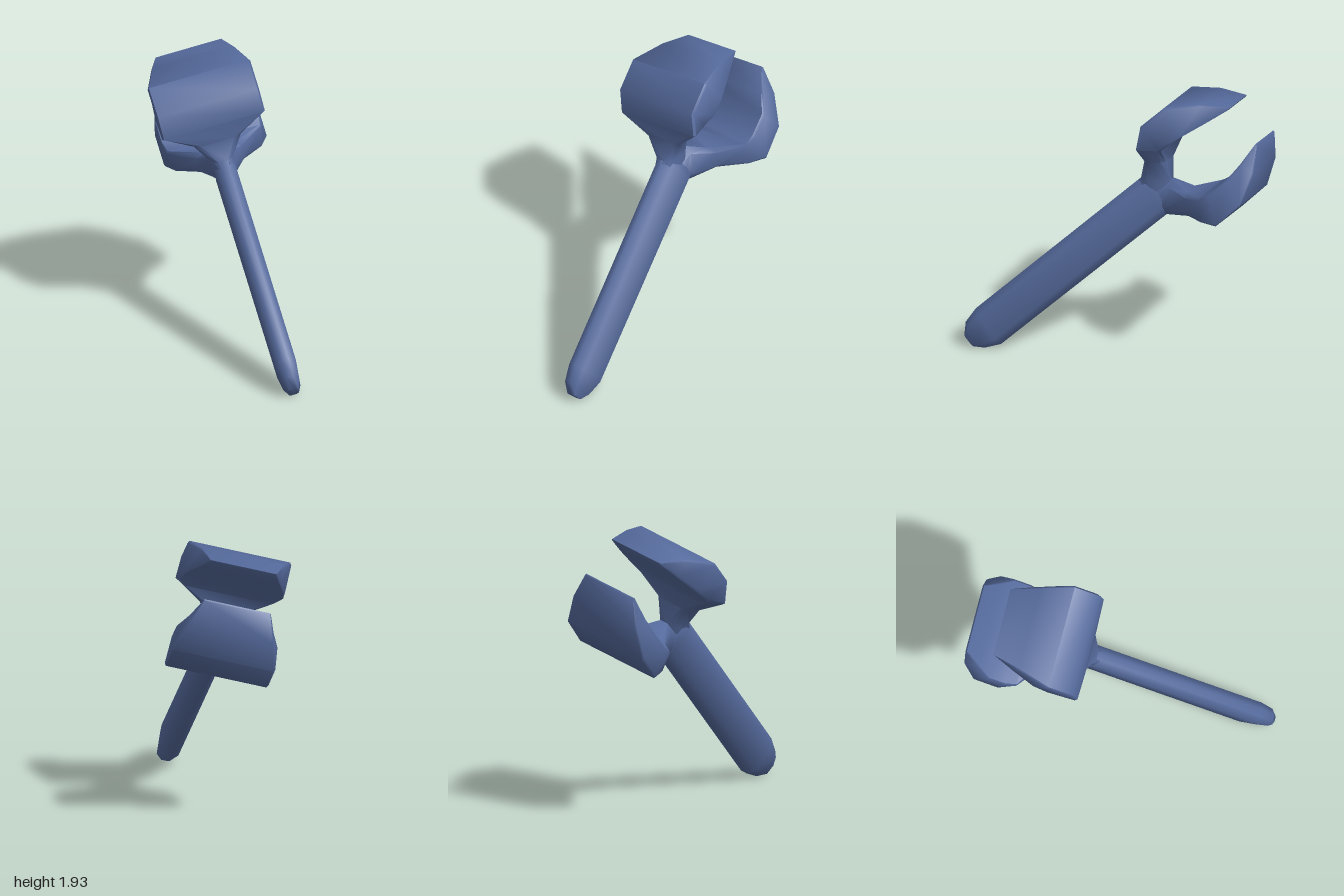
import * as THREE from 'three';
import { toCreasedNormals } from 'three/addons/utils/BufferGeometryUtils.js';

// Direction across the width of the tool; its middle plane is W . p = 0.36
const W = new THREE.Vector3(0.972, 0.235, -0.03).normalize();
const onPlane = (z, y) => new THREE.Vector3((0.36 - W.y * y - W.z * z) / W.x, y, z);

// Loft of eight-sided sections. Each station:
// [upper edge z, y, lower edge z, y, upper half width, lower half width, bevel ratio, bevel depth]
function loft(name, stations, material) {
  const pos = [], index = [], n = 8;
  const push = (p, s) => pos.push(p.x + W.x * s, p.y + W.y * s, p.z + W.z * s);
  for (const [az, ay, bz, by, ha, hb, k, inset] of stations) {
    const a = onPlane(az, ay), b = onPlane(bz, by);
    const a2 = a.clone().lerp(b, inset), b2 = b.clone().lerp(a, inset);
    push(a, ha * k); push(a2, ha); push(b2, hb); push(b, hb * k);
    push(b, -hb * k); push(b2, -hb); push(a2, -ha); push(a, -ha * k);
  }
  for (let i = 0; i < stations.length - 1; i++) {
    for (let j = 0; j < n; j++) {
      const p = i * n + j, q = i * n + (j + 1) % n;
      index.push(p, q, p + n, q, q + n, p + n);
    }
  }
  // End caps
  const last = (stations.length - 1) * n;
  for (let j = 1; j < n - 1; j++) {
    index.push(0, j + 1, j, last, last + j, last + j + 1);
  }
  const g = new THREE.BufferGeometry();
  g.setAttribute('position', new THREE.Float32BufferAttribute(pos, 3));
  g.setIndex(index);
  const mesh = new THREE.Mesh(toCreasedNormals(g, 0.95), material);
  mesh.name = name;
  return mesh;
}

export function createModel() {
  const group = new THREE.Group();
  group.name = 'openWrench';
  const metal = new THREE.MeshStandardMaterial({ color: 0x556a9c });

  // Flat bevelled bar with a rounded lower end
  group.add(loft('handle', [
    [1.0, 0.08, 0.93, 0.01, 0.035, 0.035, 0.5, 0.15],
    [0.995, 0.17, 0.85, 0.012, 0.06, 0.06, 0.4, 0.17],
    [0.93, 0.27, 0.74, 0.05, 0.073, 0.073, 0.35, 0.17],
    [-0.15, 1.28, -0.34, 1.05, 0.073, 0.073, 0.35, 0.17],
    [-0.23, 1.32, -0.41, 1.1, 0.06, 0.06, 0.35, 0.17],
  ], metal));

  // Upper jaw: narrow neck flaring into a broad hooked plate
  group.add(loft('upperJaw', [
    [-0.1, 1.22, -0.32, 1.1, 0.06, 0.06, 0.4, 0.2],
    [-0.15, 1.28, -0.36, 1.28, 0.075, 0.07, 0.45, 0.2],
    [-0.185, 1.41, -0.33, 1.42, 0.165, 0.14, 0.7, 0.2],
    [-0.18, 1.53, -0.34, 1.53, 0.36, 0.31, 0.97, 0.1],
    [-0.2, 1.69, -0.4, 1.59, 0.36, 0.36, 0.97, 0.08],
    [-0.36, 1.84, -0.49, 1.655, 0.36, 0.35, 0.97, 0.08],
    [-0.58, 1.87, -0.64, 1.755, 0.29, 0.29, 0.97, 0.1],
    [-0.775, 1.855, -0.77, 1.845, 0.23, 0.23, 1, 0.1],
  ], metal));

  // Lower jaw: the same idea, curling back up to a sharp tip
  group.add(loft('lowerJaw', [
    [-0.2, 1.22, -0.3, 1.07, 0.06, 0.06, 0.4, 0.2],
    [-0.36, 1.29, -0.34, 1.055, 0.075, 0.075, 0.45, 0.2],
    [-0.49, 1.235, -0.52, 1.08, 0.16, 0.17, 0.7, 0.2],
    [-0.63, 1.25, -0.65, 1.09, 0.33, 0.31, 0.97, 0.1],
    [-0.7, 1.29, -0.77, 1.085, 0.35, 0.36, 0.97, 0.08],
    [-0.81, 1.39, -0.93, 1.245, 0.35, 0.36, 0.97, 0.08],
    [-0.89, 1.5, -0.99, 1.45, 0.29, 0.3, 0.97, 0.1],
    [-0.975, 1.64, -0.985, 1.63, 0.23, 0.23, 1, 0.1],
  ], metal));

  return group;
}
